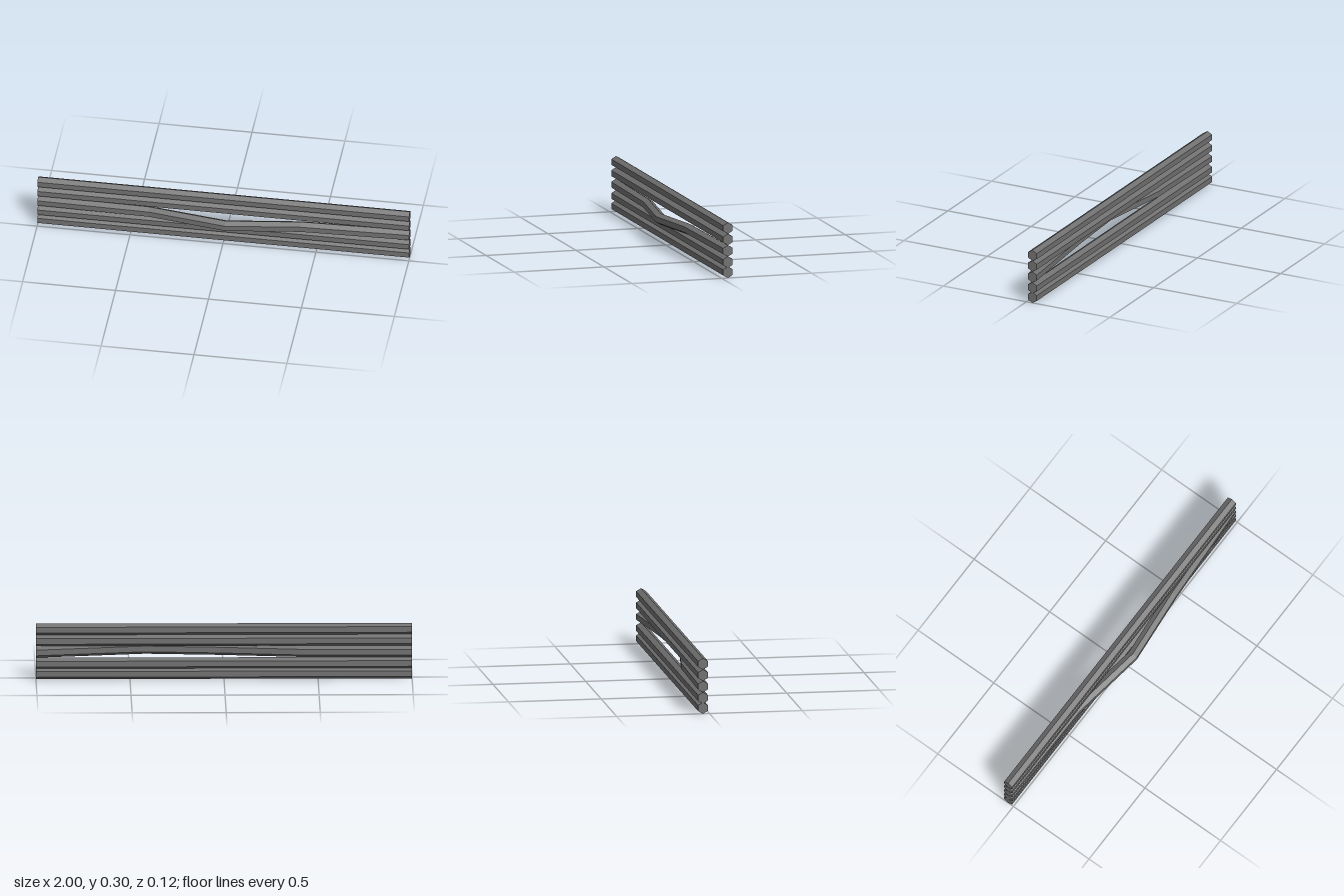
import * as THREE from 'three';

const RADIUS = 0.0305; // hexagon, point up
const BASE_Z = -0.035;

// Hexagonal bar swept along x through centres [x, y, z], with capped ends
function hexBar(name, centres, material) {
  const corner = ([x, y, z], k) => {
    const a = (k * Math.PI) / 3;
    return [x, y + RADIUS * Math.cos(a), z + RADIUS * Math.sin(a)];
  };
  const pos = [];
  const first = centres[0];
  const last = centres[centres.length - 1];
  for (let k = 0; k < 6; k++) {
    for (let i = 0; i < centres.length - 1; i++) {
      const a = corner(centres[i], k), b = corner(centres[i + 1], k);
      const c = corner(centres[i + 1], k + 1), d = corner(centres[i], k + 1);
      pos.push(...a, ...d, ...c, ...a, ...c, ...b);
    }
    pos.push(...first, ...corner(first, k + 1), ...corner(first, k));
    pos.push(...last, ...corner(last, k), ...corner(last, k + 1));
  }
  const geometry = new THREE.BufferGeometry();
  geometry.setAttribute('position', new THREE.Float32BufferAttribute(pos, 3));
  geometry.computeVertexNormals();
  const mesh = new THREE.Mesh(geometry, material);
  mesh.name = name;
  return mesh;
}

export function createModel() {
  const group = new THREE.Group();
  group.name = 'barStack';
  const material = new THREE.MeshStandardMaterial({ color: 0x707070, flatShading: true });

  // Four straight bars
  const straight = { bottomBar: 0.031, lowerBar: 0.086, upperBar: 0.209, topBar: 0.27 };
  for (const [name, y] of Object.entries(straight)) {
    group.add(hexBar(name, [[-1, y, BASE_Z], [1, y, BASE_Z]], material));
  }

  // Middle bar, buckled forward at its centre
  group.add(hexBar('bentMiddleBar', [
    [-1, 0.147, BASE_Z],
    [-0.4, 0.147, -0.027],
    [0.02, 0.147, 0.035],
    [0.42, 0.161, 0],
    [1, 0.147, BASE_Z],
  ], material));

  return group;
}
